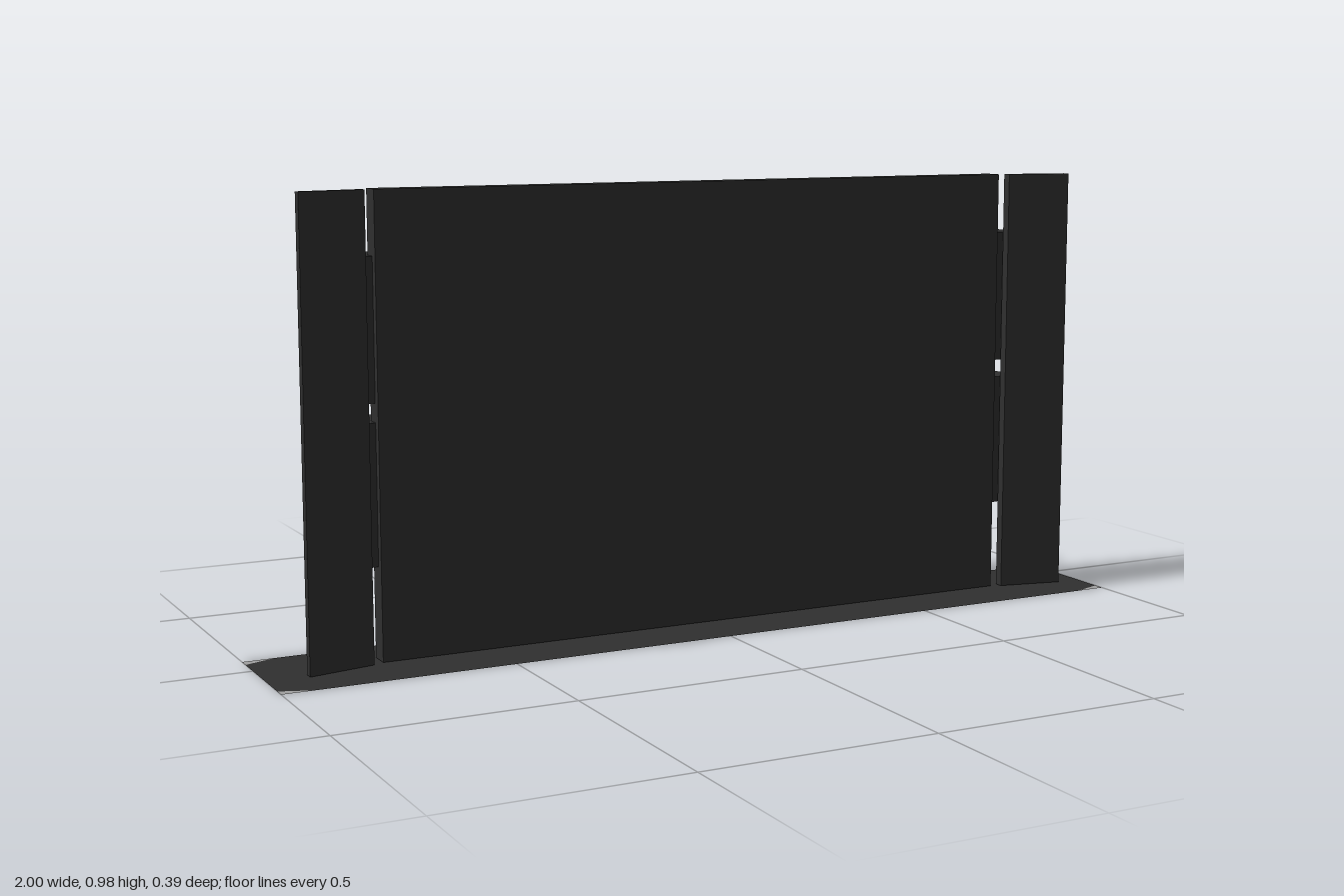
import * as THREE from 'three';
import { toCreasedNormals } from 'three/addons/utils/BufferGeometryUtils.js';

export function createModel() {
  const mat = (name, color, side = THREE.FrontSide) => {
    const m = new THREE.MeshStandardMaterial({ color, side });
    m.name = name;
    return m;
  };
  const black = mat('black plastic', 0x2f2f2f, THREE.DoubleSide);
  const gray = mat('label gray', 0xa0a0a0, THREE.DoubleSide);
  const amber = mat('label amber', 0x87653a);

  const model = new THREE.Group();
  model.name = 'wallScreen';
  const body = new THREE.Group();
  body.name = 'screenAssembly';
  body.position.x = 0.0135;
  model.add(body);

  const add = (name, geo, material = black, parent = body) => {
    const mesh = new THREE.Mesh(geo, material);
    mesh.name = name;
    parent.add(mesh);
    return mesh;
  };
  // Box given by its limits
  const box = (x0, x1, y0, y1, z0, z1) =>
    new THREE.BoxGeometry(x1 - x0, y1 - y0, z1 - z0)
      .translate((x0 + x1) / 2, (y0 + y1) / 2, (z0 + z1) / 2);
  // Tapered block: front and back rectangles [x0, x1, y0, y1, z]
  const taper = (front, back) => {
    const geo = new THREE.BoxGeometry(1, 1, 1);
    const p = geo.attributes.position;
    for (let i = 0; i < p.count; i++) {
      const r = p.getZ(i) > 0 ? front : back;
      p.setXYZ(i, r[p.getX(i) > 0 ? 1 : 0], r[p.getY(i) > 0 ? 3 : 2], r[4]);
    }
    geo.computeVertexNormals();
    return geo;
  };
  const extrude = (shape, depth) =>
    new THREE.ExtrudeGeometry(shape, { depth, bevelEnabled: false, curveSegments: 20 });
  const polygon = (pts) => new THREE.Shape(pts.map(([a, b]) => new THREE.Vector2(a, b)));
  // Upright prism from a plan shape drawn as (x, -z)
  const upright = (shape, y0, y1) =>
    extrude(shape, y1 - y0).rotateX(-Math.PI / 2).translate(0, y0, 0);
  // Prism across x from a side outline of [z, y] points
  const across = (pts, width, x, dy) =>
    extrude(polygon(pts.map(([z, y]) => [-z, y])), width)
      .translate(0, dy, -width / 2).rotateY(Math.PI / 2).translate(x, 0, 0);

  // Screen slab and bevelled rear casing
  add('screen', box(-0.7575, 0.7575, 0.002, 0.975, 0.02, 0.065));
  add('rearCasing', taper([-0.7575, 0.7575, 0.085, 0.975, 0.02], [-0.727, 0.727, 0.14, 0.9, -0.015]));

  // Raised housing and rear labels
  add('rearHousing', taper([-0.395, 0.395, 0.4, 0.76, -0.01], [-0.35, 0.35, 0.46, 0.64, -0.07]));
  add('amberLabel', box(0.48, 0.645, 0.57, 0.71, -0.018, -0.014), amber);
  add('grayLabel', box(-0.665, -0.483, 0.414, 0.707, -0.018, -0.014), gray);

  for (const s of [1, -1]) {
    const side = s > 0 ? 'left' : 'right';

    // Angled side panel
    const plan = [[0.78, -0.055], [0.926, -0.085], [0.926, -0.105], [0.78, -0.075]];
    add(side + 'SidePanel', upright(polygon(plan.map(([x, y]) => [s * x, y])), 0.002, 0.975));

    // Two round-backed speakers, one above the other
    for (const y of [0.2, 0.54]) {
      const round = new THREE.Shape();
      round.moveTo(0.1, -0.063);
      round.absarc(0, -0.033, 0.1, 0, Math.PI, false);
      round.lineTo(-0.1, -0.063);
      const geo = toCreasedNormals(upright(round, y, y + 0.3), 0.6);
      add(side + 'Speaker', geo).position.x = s * 0.757;
    }

    // Mount post with two hinged arms
    const x = s * 0.42;
    add(side + 'MountPost', taper([x - 0.028, x + 0.028, 0.35, 0.77, -0.01], [x - 0.019, x + 0.019, 0.36, 0.76, -0.066]));
    for (const dy of [0, -0.172]) {
      add(side + 'PostHinge', across([[-0.06, 0.638], [-0.06, 0.68], [-0.087, 0.67], [-0.087, 0.64]], 0.036, x, dy));
      add(side + 'Arm', across([[-0.078, 0.642], [-0.078, 0.672], [-0.135, 0.63], [-0.135, 0.602]], 0.018, x, dy));
      add(side + 'PlateHinge', across([[-0.12, 0.587], [-0.12, 0.617], [-0.157, 0.63], [-0.157, 0.57]], 0.036, x, dy));
    }
  }

  // Wall plate
  add('wallPlate', box(-0.558, 0.558, 0.387, 0.645, -0.195, -0.155));

  // Thin floor sheet with small pale corners
  const [zb, zf, cx, cz] = [-0.08, 0.195, 0.07, 0.026];
  const flat = (pts) =>
    new THREE.ShapeGeometry(polygon(pts.map(([a, z]) => [a, -z]))).rotateX(-Math.PI / 2);
  add('floorSheet', flat([
    [-1 + cx, zf], [1 - cx, zf], [1, zf - cz], [1, zb + cz],
    [1 - cx, zb], [-1 + cx, zb], [-1, zb + cz], [-1, zf - cz],
  ]), black, model);
  for (const s of [1, -1]) {
    for (const [z, d] of [[zf, -cz], [zb, cz]]) {
      add('floorCorner', flat([[s, z], [s * (1 - cx), z], [s, z + d]]), gray, model);
    }
  }
  return model;
}
